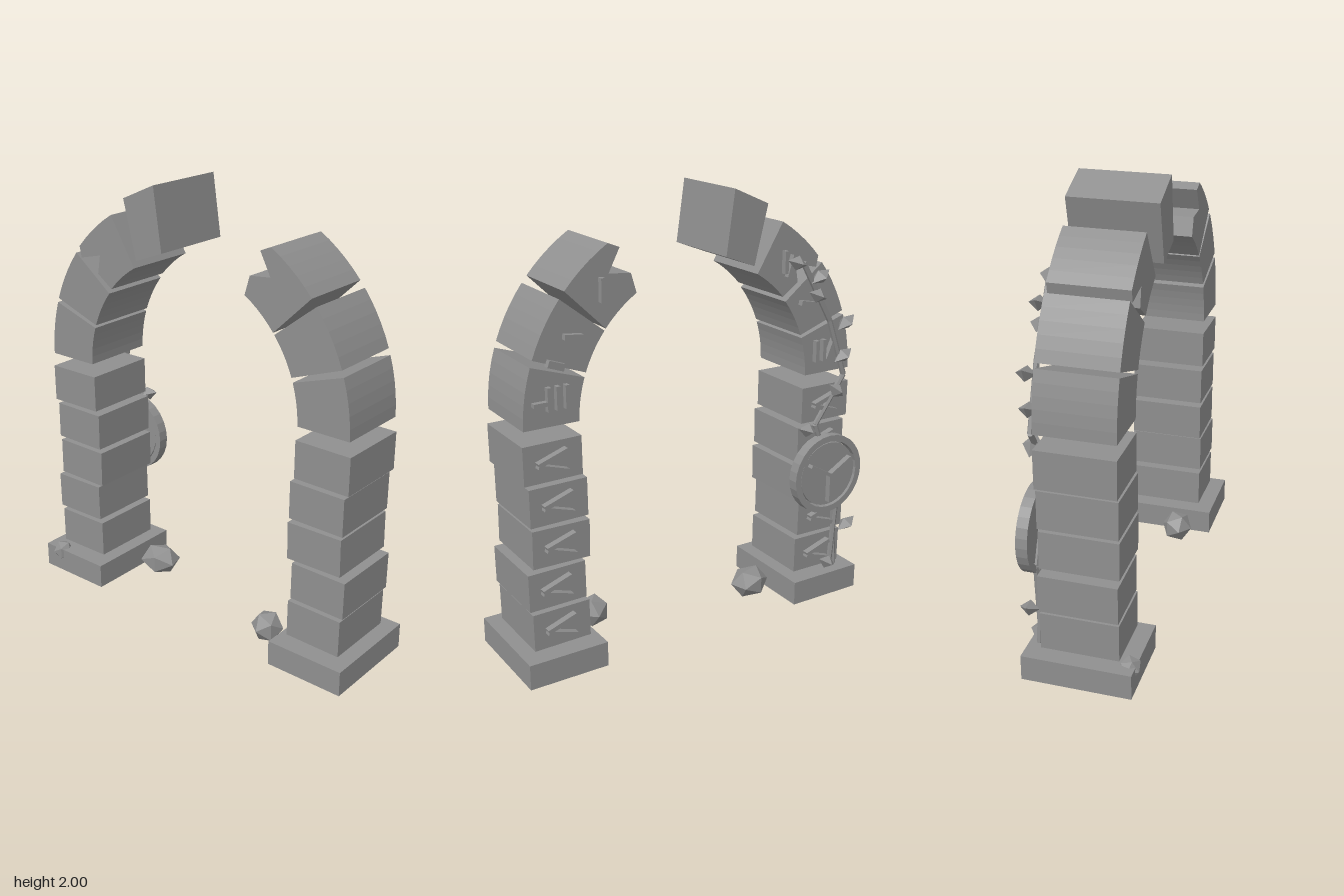
import * as THREE from 'three';

export function createModel() {
  const stone = new THREE.MeshStandardMaterial({ color: 0x8f8f8f, flatShading: true });
  stone.name = 'stone grey';
  const root = new THREE.Group();
  root.name = 'ruinedArch';

  const add = (geo, name, x, y, z, parent = root) => {
    const m = new THREE.Mesh(geo, stone);
    m.name = name;
    m.position.set(x, y, z);
    parent.add(m);
    return m;
  };
  const box = (name, w, h, d, x, y, z, parent) => add(new THREE.BoxGeometry(w, h, d), name, x, y, z, parent);

  // Flat outline in x/y extruded symmetrically in z
  const slab = (name, pts, depth) => {
    const shape = new THREE.Shape(pts.map(p => new THREE.Vector2(p[0], p[1])));
    const geo = new THREE.ExtrudeGeometry(shape, { depth, bevelEnabled: false });
    geo.translate(0, 0, -depth / 2);
    return add(geo, name, 0, 0, 0);
  };

  // Points along an arc around the arch centre
  const arc = (cx, r, a0, a1, n = 5) => Array.from({ length: n + 1 }, (_, i) => {
    const a = THREE.MathUtils.degToRad(a0 + (a1 - a0) * i / n);
    return [cx + r * Math.cos(a), 1.12 + r * Math.sin(a)];
  });

  // Rod between two points
  const rod = (name, a, b, r) => {
    const p = new THREE.Vector3(...a), q = new THREE.Vector3(...b);
    const d = q.clone().sub(p);
    const m = add(new THREE.CylinderGeometry(r, r, d.length(), 6), name, 0, 0, 0);
    m.position.copy(p).add(q).multiplyScalar(0.5);
    m.quaternion.setFromUnitVectors(new THREE.Vector3(0, 1, 0), d.normalize());
  };

  // Plinths
  box('leftPlinth', 0.37, 0.115, 0.48, 0.7, 0.0575, 0);
  box('rightPlinth', 0.37, 0.115, 0.48, -0.685, 0.0575, 0);

  // Pillar blocks with raised chevrons on the back
  const pillar = (name, xs, tilts) => xs.forEach((x, i) => {
    const block = new THREE.Group();
    block.name = name;
    block.position.set(x, 0.218 + i * 0.1885, 0);
    block.rotation.z = tilts[i];
    root.add(block);
    box('block', 0.265, 0.17, 0.342, 0, 0, 0, block);
    for (const s of [1, -1]) {
      const bar = box('chevronBar', 0.14, 0.02, 0.035, 0.01, s * 0.024, -0.184, block);
      bar.rotation.z = -s * 0.32;
    }
  });
  pillar('leftPillarBlock', [0.695, 0.71, 0.685, 0.69, 0.71], [-0.015, -0.015, 0.012, -0.01, -0.01]);
  pillar('rightPillarBlock', [-0.678, -0.692, -0.668, -0.675, -0.692], [0.01, 0.015, -0.008, -0.006, 0.006]);

  // Arch stones
  const ro = 0.835, ri = 0.585, depth = 0.34;
  const voussoir = (name, cx, a0, a1) => slab(name, [...arc(cx, ro, a0, a1), ...arc(cx, ri, a1, a0)], depth);
  voussoir('leftArchStone', 0, 0, 18);
  voussoir('leftArchStone', 0, 20, 38);
  voussoir('rightArchStone', 0.015, 162, 180);
  voussoir('rightArchStone', 0.015, 142, 160.5);
  // Broken stones with a notch in one end
  slab('leftBrokenStone', [...arc(0, ro, 40.5, 58.4),
    [0.385, 1.81], [0.437, 1.71], [0.335, 1.7], ...arc(0, ri, 58, 39)], depth);
  slab('rightBrokenStone', [...arc(0.01, ro, 121, 139),
    [-0.61, 1.617], [-0.495, 1.645], [-0.51, 1.56], ...arc(0.01, ri, 139, 121)], depth);

  // Displaced keystone
  slab('keystone', [[-0.32, 1.925], [-0.255, 1.665], [-0.11, 1.72], [-0.15, 2.0]], 0.39);

  // Raised marks on the back of the arch stones: x, y, width, height, angle
  [
    [0.645, 1.24, 0.018, 0.1, 0], [0.685, 1.24, 0.018, 0.1, 0], [0.725, 1.24, 0.018, 0.1, 0],
    [0.755, 1.225, 0.08, 0.018, 0],
    [0.69, 1.375, 0.075, 0.03, 0.35], [0.61, 1.48, 0.08, 0.022, 0.1], [0.475, 1.65, 0.018, 0.1, 0],
    [-0.66, 1.23, 0.018, 0.1, 0], [-0.62, 1.23, 0.018, 0.1, 0], [-0.7, 1.23, 0.018, 0.1, 0.4],
    [-0.56, 1.46, 0.08, 0.022, 0.2], [-0.46, 1.64, 0.018, 0.1, 0.3], [-0.43, 1.66, 0.018, 0.1, 0],
  ].forEach(([x, y, w, h, a]) => { box('carvedMark', w, h, 0.03, x, y, -0.18).rotation.z = a; });

  // Medallion: rim, disc, hub and three spokes
  const medallion = new THREE.Group();
  medallion.name = 'medallion';
  medallion.position.set(-0.678, 0.635, -0.215);
  root.add(medallion);
  const ring = new THREE.Shape().absarc(0, 0, 0.193, 0, Math.PI * 2);
  ring.holes.push(new THREE.Path().absarc(0, 0, 0.163, 0, Math.PI * 2, true));
  add(new THREE.ExtrudeGeometry(ring, { depth: 0.05, bevelEnabled: false, curveSegments: 14 }), 'rim', 0, 0, -0.025, medallion);
  add(new THREE.CylinderGeometry(0.155, 0.155, 0.035, 28), 'disc', 0, 0, 0, medallion).rotation.x = Math.PI / 2;
  for (const deg of [30, 150, 270]) {
    const a = THREE.MathUtils.degToRad(deg);
    const spoke = box('spoke', 0.135, 0.016, 0.03, 0.067 * Math.cos(a), 0.067 * Math.sin(a), -0.031, medallion);
    spoke.rotation.z = a;
  }

  // Vine climbing the back of the right side
  const vine = [[-0.74, 0.13], [-0.77, 0.5], [-0.62, 0.88], [-0.775, 1.1], [-0.68, 1.37], [-0.52, 1.65]];
  for (let i = 0; i < vine.length - 1; i++) {
    rod('vineStem', [...vine[i], -0.195], [...vine[i + 1], -0.195], 0.013);
  }
  rod('vineStem', [-0.775, 0.13, -0.19], [-0.745, 0.5, -0.19], 0.01);

  // Pointed leaves: x, y, angle
  [
    [-0.72, 0.155, 0.5], [-0.83, 0.335, -0.5], [-0.57, 0.865, 0.3], [-0.73, 1.03, 0.7], [-0.76, 1.195, -0.5],
    [-0.77, 1.35, -0.6], [-0.6, 1.495, 0.4], [-0.61, 1.58, -0.5], [-0.48, 1.655, 0.3],
  ].forEach(([x, y, a]) => {
    const leaf = add(new THREE.OctahedronGeometry(1), 'leaf', x, y, -0.205);
    leaf.scale.set(0.055, 0.033, 0.043);
    leaf.rotation.z = a;
  });

  // Fallen rubble: x, y, z, radii, turn
  [
    [-0.37, 0.08, -0.05, 0.1, 0.075, 0.085, 0.3],
    [0.405, 0.08, 0.1, 0.075, 0.075, 0.075, 0.9],
    [-0.785, 0.095, 0.212, 0.05, 0.05, 0.05, 0.5],
  ].forEach(([x, y, z, a, b, c, turn]) => {
    const rock = add(new THREE.IcosahedronGeometry(1, 0), 'rubble', x, y, z);
    rock.scale.set(a, b, c);
    rock.rotation.y = turn;
  });

  return root;
}
